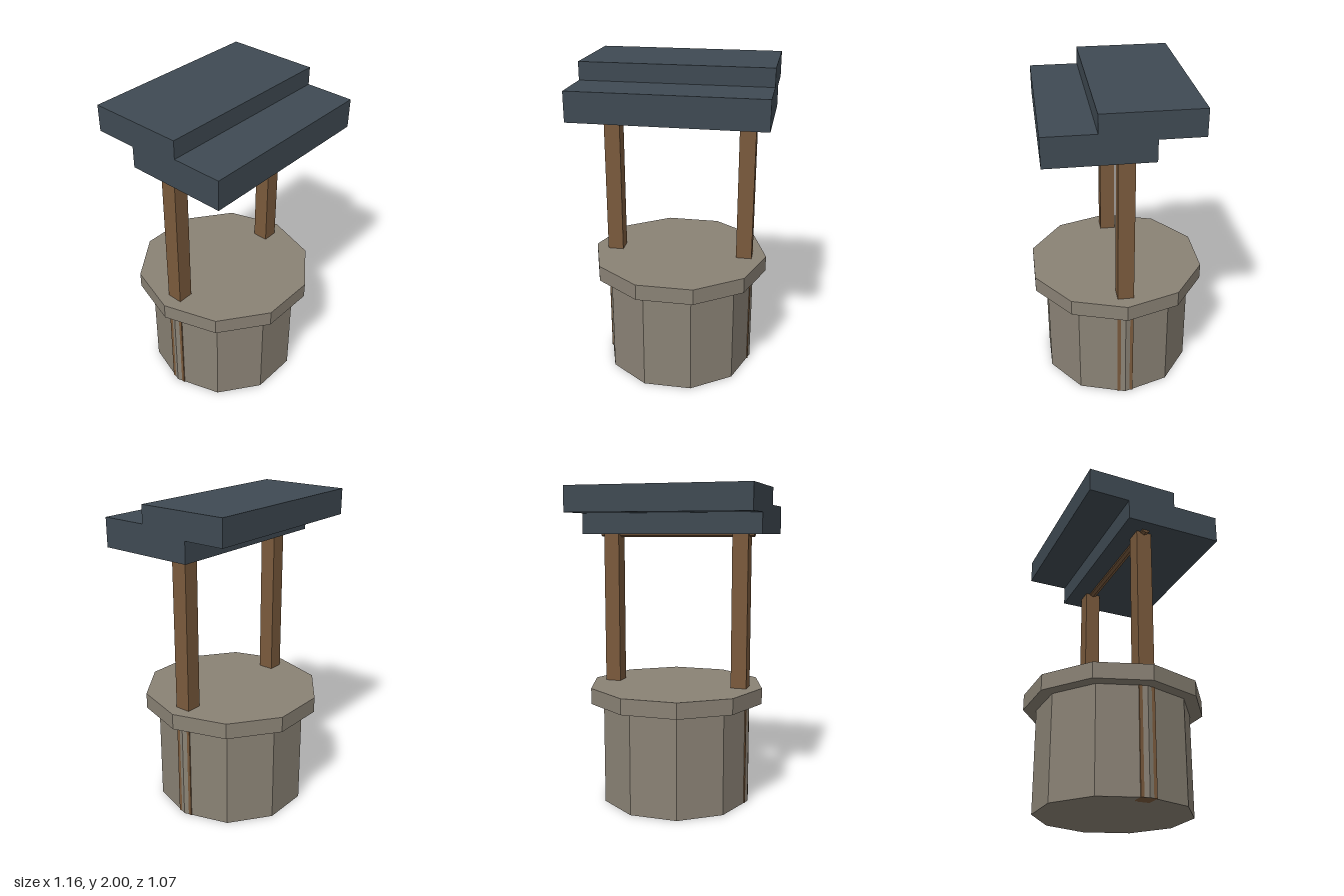
import * as THREE from 'three';

export function createModel() {
  const model = new THREE.Group();
  const material = (name, color) =>
    Object.assign(new THREE.MeshStandardMaterial({ color, flatShading: true }), { name });
  const stone = material('stone', 0x8a8275);
  const wood = material('wood', 0x7a5a3c);
  const slate = material('slate', 0x3f4a53);

  const add = (name, geometry, mat, x, y, z) => {
    const mesh = new THREE.Mesh(geometry, mat);
    mesh.name = name;
    mesh.position.set(x, y, z);
    model.add(mesh);
    return mesh;
  };

  // Ten-sided drum with a flat side facing the front
  const drum = (radius, height) =>
    new THREE.CylinderGeometry(radius, radius, height, 10).rotateY(Math.PI / 10);

  // Stone well and its closed rim
  add('wellWall', drum(0.484, 0.65), stone, 0, 0.325, 0);
  add('wellRim', drum(0.565, 0.1), stone, 0, 0.7, 0);

  // Posts run from the ground into the roof, just breaking through the wall
  for (const [name, side] of [['leftPost', 1], ['rightPost', -1]]) {
    add(name, new THREE.BoxGeometry(0.1, 1.75, 0.1), wood, side * 0.4245, 0.875, 0);
  }

  // Crossbeam showing just under the roof
  const beam = new THREE.CylinderGeometry(0.03, 0.03, 1.01, 8).rotateZ(Math.PI / 2);
  add('crossbeam', beam, wood, 0, 1.722, 0);

  // Two overlapping roof slabs, stepped up towards the back
  const slab = (name, y0, y1, z0, z1) =>
    add(name, new THREE.BoxGeometry(1.16, y1 - y0, z1 - z0), slate, 0, (y0 + y1) / 2, (z0 + z1) / 2);
  slab('frontRoofSlab', 1.71, 1.89, -0.15, 0.474);
  slab('backRoofSlab', 1.84, 2, -0.414, 0.17);

  return model;
}
